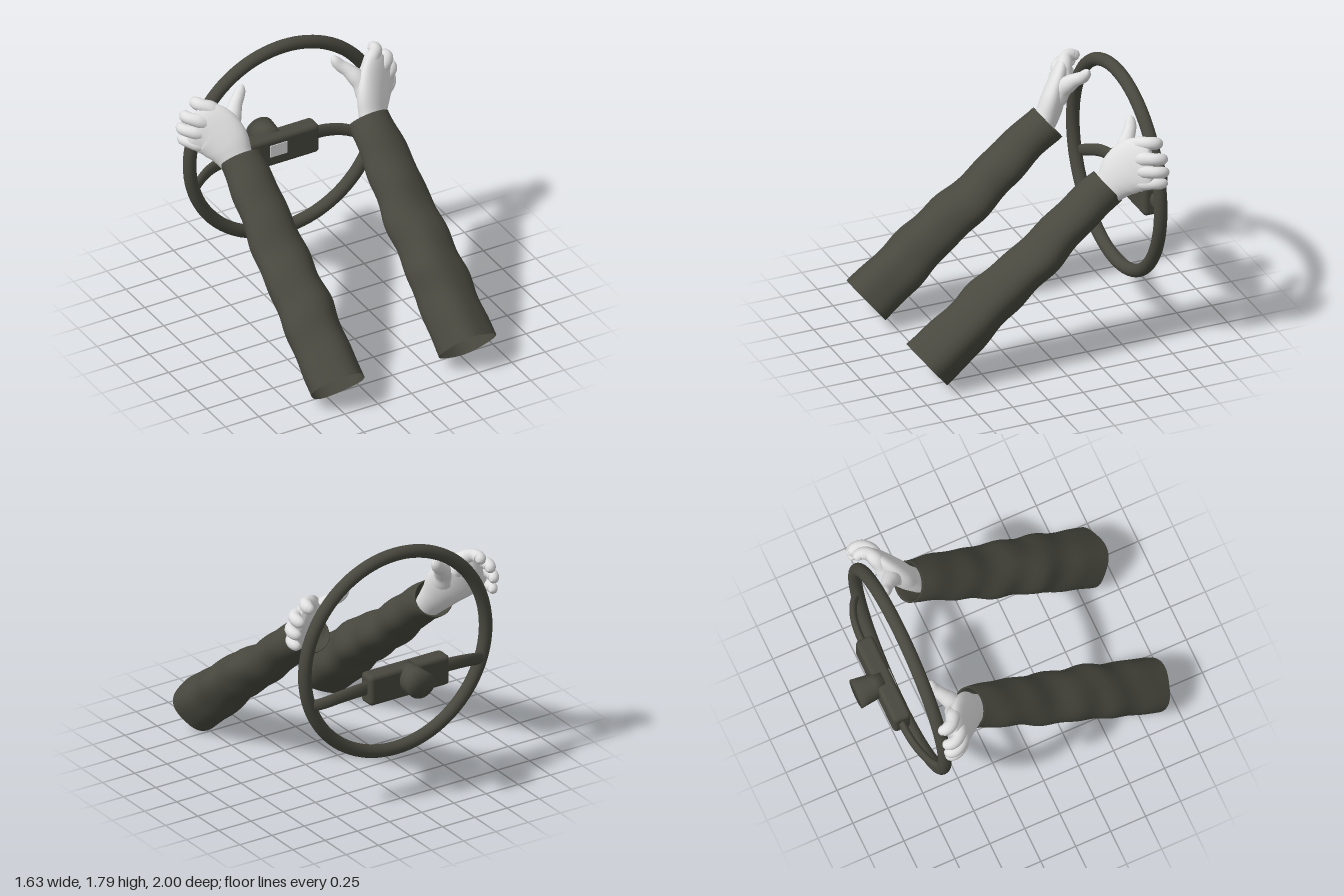
import * as THREE from 'three';
import { RoundedBoxGeometry } from 'three/addons/geometries/RoundedBoxGeometry.js';

const V = (x, y, z) => new THREE.Vector3(x, y, z);
const curveOf = (pts) => new THREE.CatmullRomCurve3(pts.map((p) => V(...p)));

// Smooth skin over a list of closed rings that all have the same point count
function skin(rings) {
  const n = rings[0].length, pos = [], index = [];
  rings.forEach((ring) => ring.forEach((p) => pos.push(p.x, p.y, p.z)));
  for (let i = 0; i < rings.length - 1; i++) {
    for (let j = 0; j < n; j++) {
      const k = (j + 1) % n, a = i * n + j, b = i * n + k;
      index.push(a, b, a + n, b, b + n, a + n);
    }
  }
  const g = new THREE.BufferGeometry();
  g.setAttribute('position', new THREE.Float32BufferAttribute(pos, 3));
  g.setIndex(index);
  g.computeVertexNormals();
  return g;
}

// One ring around c; radius(angle) scales the two half axes a and b
function ringAt(c, u, v, a, b, n, radius = () => 1) {
  return Array.from({ length: n }, (_, j) => {
    const w = (j / n) * Math.PI * 2, r = radius(w);
    return c.clone().addScaledVector(u, Math.cos(w) * a * r).addScaledVector(v, Math.sin(w) * b * r);
  });
}

// Tapered finger with a rounded tip and slightly swollen joints
function fingerGeometry(pts, r0, r1) {
  const curve = curveOf(pts), n = 28, f = curve.computeFrenetFrames(n);
  const rings = [];
  for (let i = 0; i <= n; i++) {
    const t = i / n, e = Math.max(0, (t - 0.86) / 0.14);
    const joint = 1 + 0.04 * Math.cos(t * Math.PI * 5);
    const r = (r0 + (r1 - r0) * t) * joint * Math.sqrt(Math.max(1e-5, 1 - e * e));
    rings.push(ringAt(curve.getPointAt(t), f.normals[i], f.binormals[i], r, r, 14));
  }
  return skin(rings);
}

// Palm from wrist to knuckles: centre, width direction, half width and half thickness
function palmGeometry() {
  const centre = curveOf([[0.485, 1.1, -0.33], [0.515, 1.205, -0.415], [0.555, 1.3, -0.475], [0.615, 1.375, -0.535], [0.685, 1.405, -0.585], [0.715, 1.415, -0.625]]);
  const width = curveOf([[-0.8, 0.5, 0.2], [-0.72, 0.62, 0.25], [-0.66, 0.72, 0.22], [-0.6, 0.8, 0.12], [-0.47, 0.88, 0], [-0.42, 0.9, 0]]);
  const size = curveOf([[0.09, 0.075, 0], [0.122, 0.08, 0], [0.163, 0.08, 0], [0.178, 0.068, 0], [0.168, 0.052, 0], [0.15, 0.042, 0]]);
  const rings = [];
  for (let i = 0; i <= 36; i++) {
    const t = i / 36, d = centre.getTangent(t), s = size.getPoint(t);
    const u = width.getPoint(t);
    u.addScaledVector(d, -u.dot(d)).normalize();
    const e = Math.max(0, (t - 0.9) / 0.1), k = Math.sqrt(Math.max(1e-5, 1 - e * e));
    rings.push(ringAt(centre.getPoint(t), u, d.clone().cross(u), s.x * (0.6 + 0.4 * k), s.y * k, 28));
  }
  return skin(rings);
}

// Wrinkled open sleeve with a folded-in cuff
function sleeveGeometry() {
  const A = V(0.486, 0.15, 0.884), B = V(0.481, 1.19, -0.405);
  const d = B.clone().sub(A).normalize(), u = V(1, 0, 0), v = d.clone().cross(u).normalize();
  const size = curveOf([[0.194, 0.182, 0], [0.191, 0.165, 0], [0.184, 0.146, 0], [0.167, 0.131, 0], [0.142, 0.128, 0]]);
  const ring = (t, k) => {
    const s = size.getPoint(t), fold = Math.min(1, t * 3) * (1 - 0.4 * t);
    const c = A.clone().lerp(B, t).addScaledVector(v, 0.012 * Math.sin(t * 13) * fold);
    return ringAt(c, u, v, s.x * k, s.y * k, 48, (w) =>
      1 + 0.05 * Math.cos(4 * w + 1.2) * (1 - t)
      + fold * (0.04 * Math.sin(t * 31 + w) + 0.025 * Math.sin(t * 23 - 2 * w + 1)));
  };
  const rings = [];
  for (let i = 0; i <= 70; i++) rings.push(ring(i / 70, 1));
  rings.push(ring(1, 0.96), ring(0.995, 0.91), ring(0.97, 0.88), ring(0.9, 0.86));
  return skin(rings);
}

// Curved oval spoke, flattened front to back
function spokeGeometry() {
  const curve = curveOf([[0.27, 0.91, -0.808], [0.38, 0.905, -0.806], [0.5, 0.885, -0.785], [0.6, 0.85, -0.742], [0.665, 0.825, -0.69]]);
  const rings = [];
  for (let i = 0; i <= 24; i++) {
    const t = i / 24, d = curve.getTangentAt(t), v = V(0, 1, 0);
    v.addScaledVector(d, -v.y * d.y).normalize();
    rings.push(ringAt(curve.getPointAt(t), v.clone().cross(d), v, 0.025, 0.05 - 0.012 * t, 18));
  }
  return skin(rings);
}

// Column: tall oval at the hub, wide oval at the back, with a smooth-shaded end
function columnGeometry() {
  const u = V(1, 0, 0), v = V(0, -1, 0);
  const ring = (z, a, b) => ringAt(V(0, 0.924, z), u, v, a, b, 32);
  return skin([
    ring(-0.808, 0.001, 0.001), ring(-0.808, 0.074, 0.106), ring(-0.87, 0.084, 0.1),
    ring(-0.94, 0.094, 0.096), ring(-1, 0.103, 0.091), ring(-1, 0.001, 0.001),
  ]);
}

export function createModel() {
  const model = new THREE.Group();
  const dark = new THREE.MeshStandardMaterial({ name: 'dark olive', color: 0x48483f });
  const cloth = new THREE.MeshStandardMaterial({ name: 'sleeve olive', color: 0x48483f, side: THREE.DoubleSide });
  const pale = new THREE.MeshStandardMaterial({ name: 'pale grey', color: 0xe0e0e0 });
  const add = (parent, name, geometry, material, x = 0, y = 0, z = 0) => {
    const m = new THREE.Mesh(geometry, material);
    m.name = name;
    m.position.set(x, y, z);
    parent.add(m);
    return m;
  };

  // Steering wheel
  const wheel = new THREE.Group();
  wheel.name = 'steeringWheel';
  model.add(wheel);
  add(wheel, 'rim', new THREE.TorusGeometry(0.702, 0.0445, 20, 96), dark, 0, 1.045, -0.685);
  add(wheel, 'hub', new RoundedBoxGeometry(0.62, 0.215, 0.125, 4, 0.03), dark, 0, 0.9, -0.805);
  add(wheel, 'hubPlate', new THREE.BoxGeometry(0.126, 0.088, 0.008), pale, -0.003, 0.916, -0.741);
  add(wheel, 'column', columnGeometry(), dark);

  // One side, built on +x and mirrored
  const spoke = spokeGeometry();
  const sleeve = sleeveGeometry();
  const palm = palmGeometry();
  const fingers = {
    indexFinger: [[0.54, 1.42, -0.55], [0.6, 1.515, -0.58], [0.655, 1.537, -0.62], [0.665, 1.53, -0.675], [0.635, 1.52, -0.697]],
    middleFinger: [[0.6, 1.4, -0.545], [0.69, 1.45, -0.575], [0.74, 1.46, -0.62], [0.742, 1.45, -0.675], [0.71, 1.435, -0.7]],
    ringFinger: [[0.62, 1.34, -0.535], [0.725, 1.372, -0.575], [0.77, 1.378, -0.62], [0.77, 1.368, -0.675], [0.735, 1.355, -0.7]],
    littleFinger: [[0.62, 1.26, -0.52], [0.715, 1.282, -0.565], [0.762, 1.292, -0.615], [0.765, 1.285, -0.67], [0.735, 1.28, -0.695]],
  };
  const thumb = fingerGeometry([[0.505, 1.34, -0.48], [0.475, 1.42, -0.525], [0.425, 1.483, -0.575], [0.378, 1.522, -0.612], [0.335, 1.587, -0.635]], 0.072, 0.029);

  for (const side of [1, -1]) {
    const prefix = side > 0 ? 'left' : 'right';
    const half = new THREE.Group();
    half.name = prefix + 'Arm';
    half.scale.x = side;
    model.add(half);
    add(half, prefix + 'Sleeve', sleeve, cloth);
    const hand = new THREE.Group();
    hand.name = prefix + 'Hand';
    half.add(hand);
    add(hand, 'palm', palm, pale);
    add(hand, 'thumb', thumb, pale);
    Object.entries(fingers).forEach(([name, pts], i) =>
      add(hand, name, fingerGeometry(pts, 0.056 - 0.002 * i, 0.037 - 0.002 * i), pale));
    add(wheel, prefix + 'Spoke', spoke, dark).scale.x = side;
  }
  return model;
}
